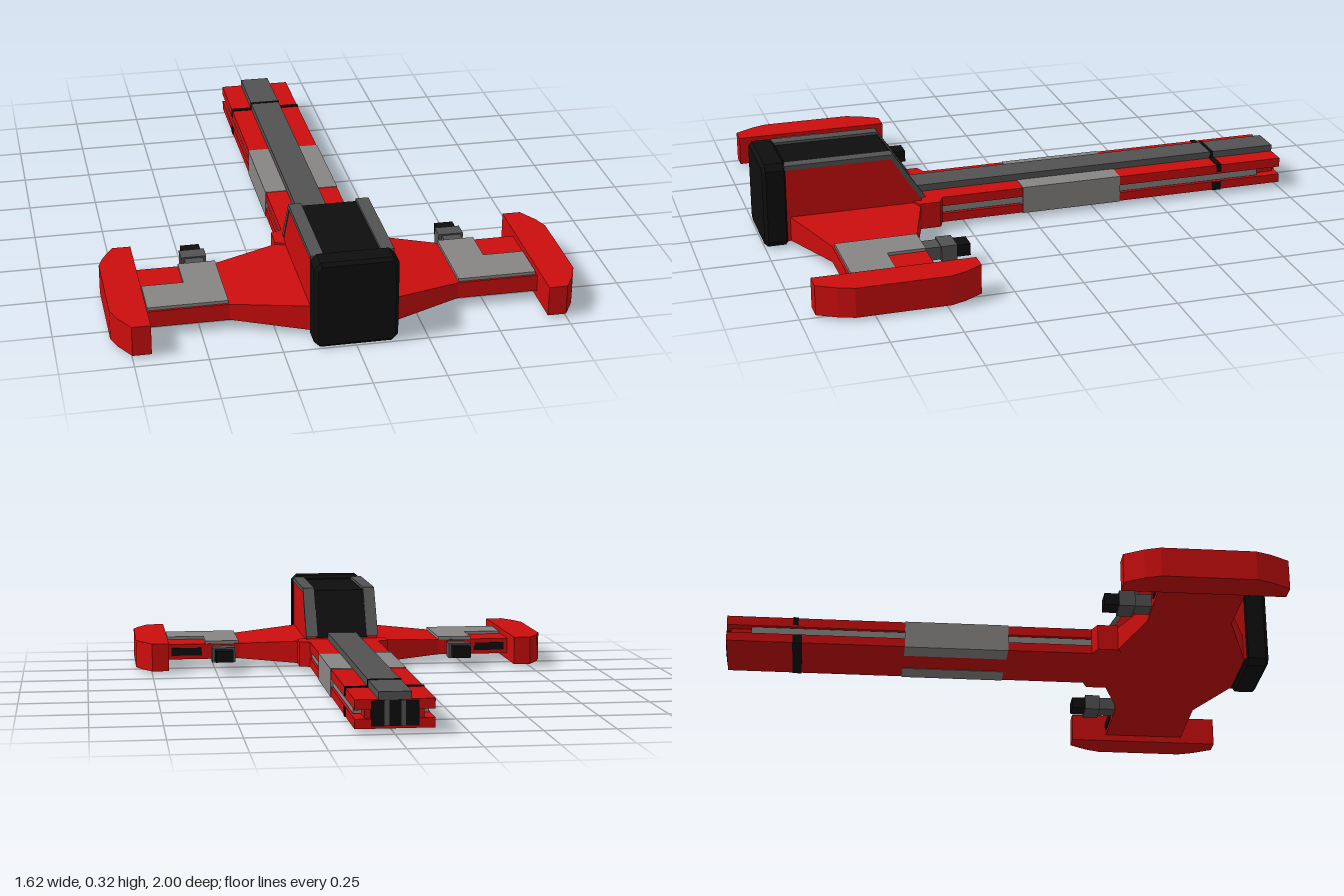
import * as THREE from 'three';

const mat = (name, color) => {
  const m = new THREE.MeshStandardMaterial({ color, flatShading: true });
  m.name = name;
  return m;
};

export function createModel() {
  const red = mat('red', 0xcc0d0d);
  const grey = mat('light grey', 0x888583);
  const dark = mat('dark grey', 0x525252);
  const black = mat('black', 0x0e0e0e);
  const model = new THREE.Group();
  model.name = 'starship';

  const add = (name, geo, material) => {
    const mesh = new THREE.Mesh(geo, material);
    mesh.name = name;
    model.add(mesh);
    return mesh;
  };
  // box from its limits on each axis
  const box = (name, material, x0, x1, y0, y1, z0, z1) =>
    add(name, new THREE.BoxGeometry(Math.abs(x1 - x0), y1 - y0, z1 - z0)
      .translate((x0 + x1) / 2, (y0 + y1) / 2, (z0 + z1) / 2), material);
  const shape = pts => new THREE.Shape(pts.map(p => new THREE.Vector2(...p)));
  const extrude = (pts, depth) =>
    new THREE.ExtrudeGeometry(shape(pts), { depth, bevelEnabled: false });
  // outline in (z, y), spread between two x values
  const side = (name, material, pts, x0, x1) =>
    add(name, extrude(pts, x1 - x0).rotateY(-Math.PI / 2).translate(x1, 0, 0), material);
  // outline in (x, z), spread between two heights
  const plan = (name, material, pts, y0, y1) =>
    add(name, extrude(pts, y1 - y0).rotateX(Math.PI / 2).translate(0, y1, 0), material);

  // wing lofted through rectangular sections: x, rear z, front z, bottom y, top y
  const stations = [[0.685, 0.505, 0.81, 0.035, 0.095], [0.4, 0.505, 0.81, 0.035, 0.095],
    [0.14, 0.42, 0.905, 0.02, 0.112]];
  const sections = [...stations.map(([x, ...r]) => [-x, ...r]), ...stations.slice().reverse()];
  const pos = [], idx = [];
  for (const [x, z0, z1, y0, y1] of sections) pos.push(x, y0, z0, x, y0, z1, x, y1, z1, x, y1, z0);
  for (let i = 0; i < sections.length - 1; i++) {
    for (let j = 0; j < 4; j++) {
      const a = i * 4 + j, b = i * 4 + (j + 1) % 4;
      idx.push(a, a + 4, b, b, a + 4, b + 4);
    }
  }
  const wing = new THREE.BufferGeometry();
  wing.setAttribute('position', new THREE.Float32BufferAttribute(pos, 3));
  // order the corners so that the faces look outward
  for (let i = 0; i < idx.length; i += 3) [idx[i + 1], idx[i + 2]] = [idx[i + 2], idx[i + 1]];
  wing.setIndex(idx);
  const wingGeo = wing.toNonIndexed();
  wingGeo.computeVertexNormals();
  const wingMesh = add('wing', wingGeo, red);
  wingMesh.material = red.clone();
  wingMesh.material = red;
  red.side = THREE.DoubleSide;

  // cabin with a sloping rear
  side('cabin', red, [[0.42, 0.02], [0.92, 0.02], [0.92, 0.295], [0.527, 0.295], [0.42, 0.125]], -0.14, 0.14);
  side('cabinRoof', black, [[0.405, 0.125], [0.425, 0.125], [0.53, 0.29], [0.92, 0.29], [0.92, 0.3], [0.524, 0.3]], -0.1, 0.1);

  // black block at the front, with chamfered corners and rim
  const w = 0.133, c = 0.015;
  const nose = new THREE.ExtrudeGeometry(shape([[-w + c, 0.012], [w - c, 0.012], [w, 0.012 + c], [w, 0.305 - c],
    [w - c, 0.305], [-w + c, 0.305], [-w, 0.305 - c], [-w, 0.012 + c]]),
  { depth: 0.066, bevelEnabled: true, bevelThickness: 0.012, bevelSize: 0.012, bevelSegments: 1 });
  add('noseBlock', nose.translate(0, 0, 0.922), black);

  // shoulders where the boom meets the cabin
  plan('shoulder', red, [[-0.135, 0.34], [0.135, 0.34], [0.175, 0.357], [0.175, 0.435], [0.14, 0.45],
    [-0.14, 0.45], [-0.175, 0.435], [-0.175, 0.357]], 0.02, 0.118);

  // boom: two slabs with a recessed core between them and a spine above
  box('boomTop', red, -0.135, 0.135, 0.083, 0.118, -1, 0.36);
  box('boomBottom', red, -0.135, 0.135, 0.02, 0.053, -1, 0.36);
  box('boomCore', red, -0.1, 0.1, 0.05, 0.086, -0.985, 0.36);
  box('boomSpine', dark, -0.056, 0.056, 0.115, 0.143, -1, 0.42);
  box('bandTop', black, -0.137, 0.137, 0.09, 0.121, -0.76, -0.74);
  box('bandSpine', black, -0.058, 0.058, 0.118, 0.145, -0.756, -0.744);
  box('bandBottom', black, -0.137, 0.137, 0.018, 0.052, -0.76, -0.725);

  // exhaust at the rear of the boom
  box('exhaust', black, -0.08, 0.08, 0.028, 0.115, -1.0, -0.97).position.z = -0.002;
  for (const x of [-0.028, 0.028]) box('exhaustBar', dark, x - 0.008, x + 0.008, 0.03, 0.115, -1.004, -0.99);

  for (const s of [1, -1]) {
    const m = pts => pts.map(([x, z]) => [x * s, z]);
    // roof rails
    const x0 = s > 0 ? 0.098 : -0.143;
    side('roofRail', dark, [[0.403, 0.13], [0.425, 0.13], [0.532, 0.293], [0.92, 0.293], [0.92, 0.31], [0.523, 0.31]],
      x0, x0 + 0.045);

    // boom side trim
    box('boomStrip', grey, s * 0.095, s * 0.128, 0.056, 0.08, -0.91, 0.355);
    box('boomPanel', grey, s * 0.057, s * 0.137, 0.018, 0.12, -0.35, 0.03);

    // wing tip plate
    plan('wingTip', red, m([[0.685, 0.368], [0.75, 0.368], [0.79, 0.435], [0.81, 0.49], [0.81, 0.82],
      [0.79, 0.875], [0.75, 0.945], [0.685, 0.945]]), 0.01, 0.118);

    // L-shaped wing panel
    plan('wingPanel', grey, m([[0.403, 0.507], [0.535, 0.507], [0.535, 0.645], [0.68, 0.645], [0.68, 0.802],
      [0.403, 0.802]]), 0.09, 0.106);

    // gun and vent on the rear edge of the wing
    const g = s * 0.47;
    box('gunBarrel', dark, g - 0.034, g + 0.034, 0.042, 0.09, 0.43, 0.52);
    box('gunCollar', dark, g - 0.045, g + 0.045, 0.037, 0.095, 0.388, 0.445);
    box('gunTip', black, g - 0.034, g + 0.034, 0.044, 0.088, 0.337, 0.39);
    box('wingVent', black, s * 0.55, s * 0.67, 0.05, 0.08, 0.5, 0.509);
  }
  return model;
}
